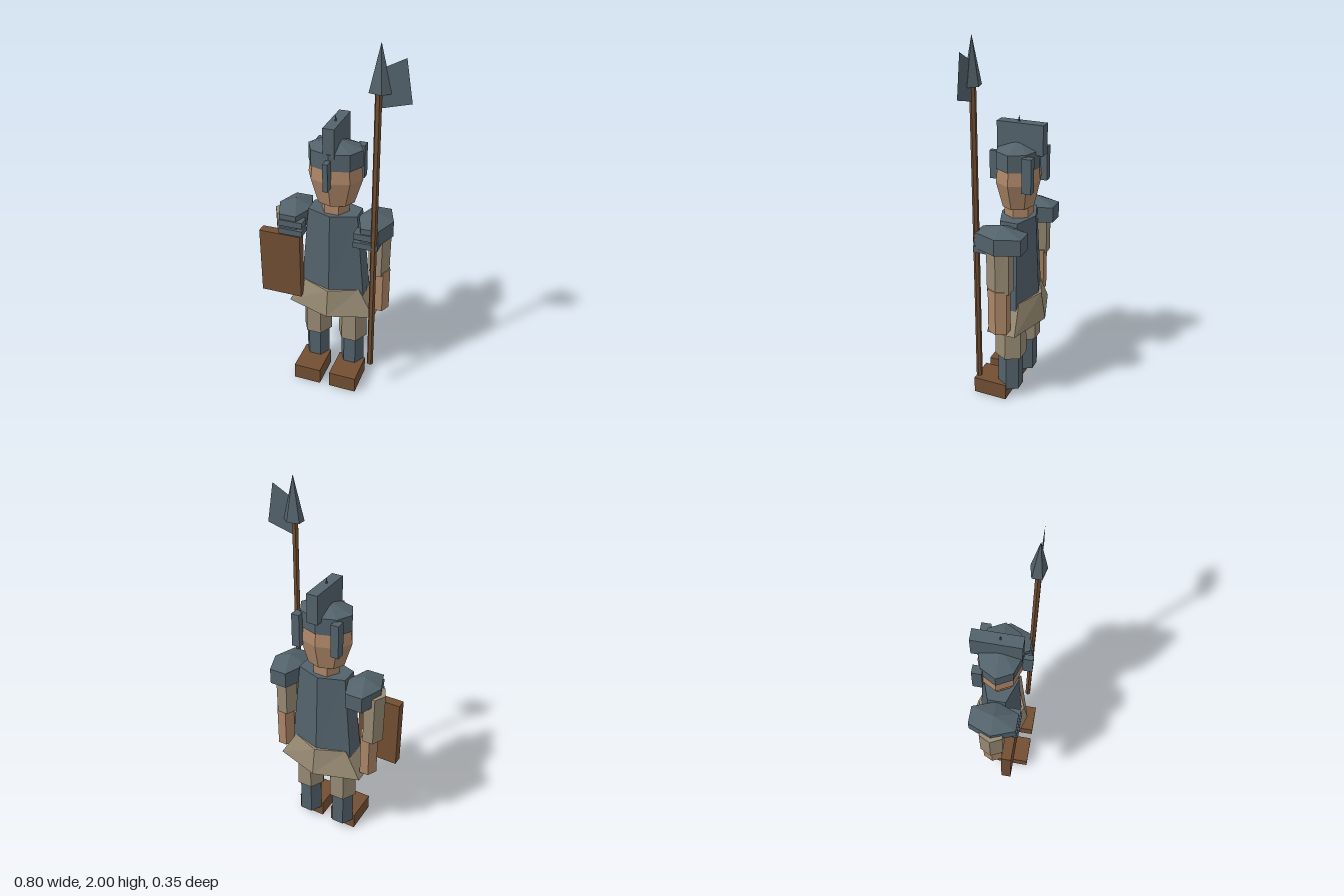
import * as THREE from 'three';

const CX = -0.01, CZ = -0.018; // body axis

export function createModel() {
  const model = new THREE.Group();
  model.name = 'guard';
  const colour = (name, color, extra = {}) => {
    const m = new THREE.MeshStandardMaterial({ color, ...extra });
    m.name = name;
    return m;
  };
  const steel = colour('steel', 0x53626b);
  const wood = colour('brown leather and wood', 0x724e33);
  const cloth = colour('tan cloth', 0x978a73);
  const skin = colour('skin', 0xac8667);

  function add(name, geo, mat) {
    const g = geo.index ? geo.toNonIndexed() : geo;
    g.computeVertexNormals(); // flat facets
    const mesh = new THREE.Mesh(g, mat);
    mesh.name = name;
    model.add(mesh);
    return mesh;
  }

  // Box given by its minimum and maximum corners
  function box(name, mat, [x0, y0, z0], [x1, y1, z1]) {
    const g = new THREE.BoxGeometry(x1 - x0, y1 - y0, z1 - z0);
    g.translate((x0 + x1) / 2, (y0 + y1) / 2, (z0 + z1) / 2);
    return add(name, g, mat);
  }

  // Faceted solid through rings [y, radiusX, radiusZ], listed from the bottom up
  function loft(name, mat, sides, x, z, rings, start = Math.PI / 2) {
    const n = rings.length - 1;
    const g = new THREE.CylinderGeometry(1, 1, n, sides, n, false, start);
    const p = g.attributes.position;
    for (let i = 0; i < p.count; i++) {
      const [y, rx, rz] = rings[Math.round(p.getY(i) + n / 2)];
      p.setXYZ(i, x + p.getX(i) * rx, y, z + p.getZ(i) * rz);
    }
    return add(name, g, mat);
  }

  // Torso and skirt: six sides with a ridge at front and back
  loft('breastplate', steel, 6, CX, CZ, [[0.57, 0.207, 0.118], [1.065, 0.155, 0.095]], 0);
  loft('skirt', cloth, 6, CX, CZ, [[0.465, 0.283, 0.156], [0.62, 0.18, 0.132]], 0);

  // Head
  loft('neck', skin, 6, CX, CZ, [[1.04, 0.077, 0.075], [1.14, 0.077, 0.075]]);
  loft('head', skin, 8, CX, CZ,
    [[1.12, 0.103, 0.083], [1.26, 0.147, 0.116], [1.36, 0.135, 0.105]]);

  // Helmet
  loft('helmetBand', steel, 8, CX, CZ, [[1.33, 0.145, 0.113], [1.42, 0.145, 0.113]]);
  loft('helmetDome', steel, 8, CX, CZ, [[1.42, 0.145, 0.113], [1.465, 0.002, 0.002]]);
  loft('helmetSpike', steel, 6, CX, CZ, [[1.5, 0.014, 0.014], [1.585, 0.001, 0.001]]);
  box('helmetCrest', steel, [CX - 0.03, 1.4, -0.157], [CX + 0.03, 1.555, 0.09]);
  box('noseGuard', steel, [CX - 0.013, 1.24, 0.085], [CX + 0.013, 1.39, 0.14]);

  for (const side of [-1, 1]) {
    const word = side > 0 ? 'left' : 'right';
    const at = (d) => CX + side * d;
    const sideBox = (name, mat, d0, d1, y0, y1, z0, z1) =>
      box(word + name, mat, [Math.min(at(d0), at(d1)), y0, z0], [Math.max(at(d0), at(d1)), y1, z1]);

    sideBox('NeckGuard', steel, 0.088, 0.131, 1.23, 1.41, -0.135, -0.085);

    // Shoulder armour with two strips in front
    loft(word + 'ShoulderPlate', steel, 6, at(0.222), CZ,
      [[0.958, 0.093, 0.142], [1.045, 0.093, 0.142], [1.087, 0.002, 0.002]]);
    sideBox('UpperShoulderStrip', steel, 0.14, 0.27, 0.98, 1.015, 0.05, 0.112);
    sideBox('LowerShoulderStrip', steel, 0.14, 0.27, 0.935, 0.968, 0.045, 0.118);

    // Arms
    const arm = side > 0 ? 0.235 : -0.289;
    const hand = side > 0 ? 0.248 : -0.27;
    loft(word + 'Sleeve', cloth, 6, arm, CZ, [[0.73, 0.058, 0.07], [1.01, 0.062, 0.07]]);
    loft(word + 'Forearm', skin, 6, hand, CZ, [[0.5, 0.05, 0.06], [0.75, 0.05, 0.06]]);

    // Legs
    loft(word + 'Thigh', cloth, 6, at(0.104), -0.015, [[0.27, 0.083, 0.087], [0.6, 0.075, 0.085]]);
    loft(word + 'Shin', steel, 6, at(0.105), -0.015, [[0.062, 0.068, 0.069], [0.3, 0.066, 0.069]]);

    // Shoe: block with a small recess in the sole
    const sole = new THREE.Shape([[-0.077, -0.095], [0.077, -0.095], [0.077, 0.095], [-0.077, 0.095]]
      .map(([x, y]) => new THREE.Vector2(x, y)));
    sole.holes.push(new THREE.Path([[-0.033, -0.035], [-0.033, 0.035], [0.033, 0.035], [0.033, -0.035]]
      .map(([x, y]) => new THREE.Vector2(x, y))));
    const shoe = new THREE.ExtrudeGeometry(sole, { depth: 0.05, bevelEnabled: false });
    shoe.rotateX(-Math.PI / 2).translate(at(0.105), 0, 0.08);
    add(word + 'ShoeSole', shoe, wood);
    sideBox('ShoeTop', wood, 0.028, 0.182, 0.05, 0.093, -0.015, 0.175);
  }

  // Shield
  box('shield', wood, [-0.4, 0.535, 0.05], [-0.17, 0.92, 0.102]);

  // Polearm: shaft, point and a flat side blade
  loft('spearShaft', wood, 6, 0.238, 0.108, [[0.18, 0.017, 0.016], [1.8, 0.017, 0.016]]);
  loft('spearPoint', steel, 5, 0.243, 0.105, [[1.775, 0.057, 0.041], [2, 0.001, 0.001]]);
  const bladeSteel = colour('blade steel', 0x53626b, { side: THREE.DoubleSide });
  const blade = new THREE.ShapeGeometry(new THREE.Shape(
    [[0.245, 1.7], [0.395, 1.74], [0.36, 1.945], [0.245, 1.885]].map(([x, y]) => new THREE.Vector2(x, y))));
  blade.translate(0, 0, 0.107);
  add('sideBlade', blade, bladeSteel);

  return model;
}
